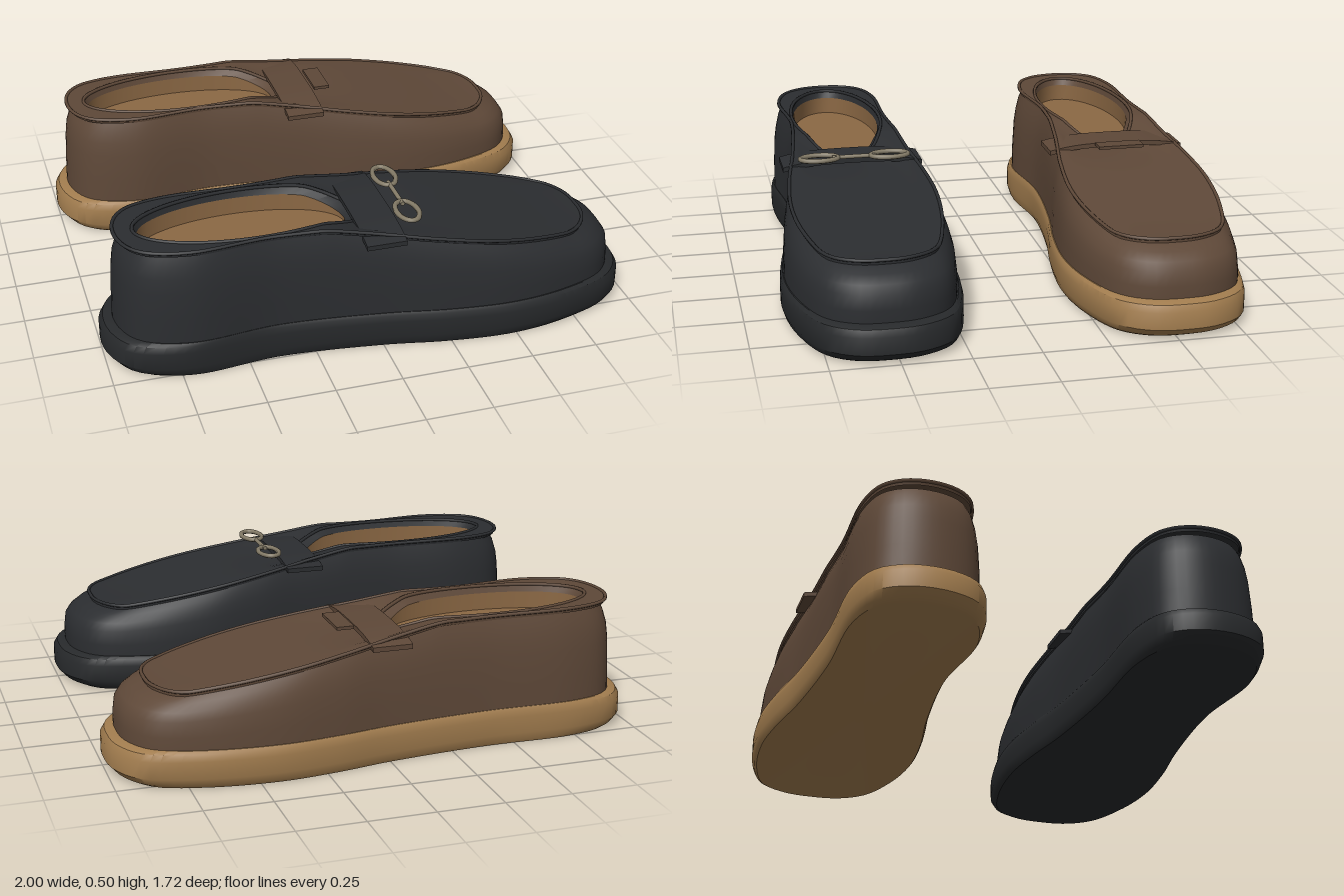
import * as THREE from 'three';
import { toCreasedNormals } from 'three/addons/utils/BufferGeometryUtils.js';

const N = 128;
const V = (x, y, z) => new THREE.Vector3(x, y, z);

// Footprint of the shoe: toe at +x, running along the -z side to the heel and back
const outline = new THREE.CatmullRomCurve3([
  [1, 0], [0.985, -0.12], [0.91, -0.235], [0.72, -0.302], [0.45, -0.33], [0.22, -0.31], [0, -0.273], [-0.4, -0.238],
  [-0.78, -0.235], [-0.93, -0.185], [-0.995, -0.08], [-0.995, 0.07], [-0.93, 0.185], [-0.75, 0.25], [-0.4, 0.226],
  [0, 0.265], [0.25, 0.31], [0.5, 0.33], [0.72, 0.3], [0.91, 0.225], [0.985, 0.12],
].map(([x, z]) => V(x, 0, z)), true).getSpacedPoints(N).slice(0, N);

// Height of the upper along its length
const topY = (x) => {
  if (x < -0.2) return 0.49;
  return Math.max(0.326, 0.49 - (x + 0.2) * 0.172);
};
// The apron dips in the middle of the throat
const apronY = (x, z) => topY(x) + 0.004
  - 0.035 * Math.exp(-(((x + 0.02) / 0.15) ** 2)) * Math.max(0, 1 - (z / 0.2) ** 2);

// Footprint ring stretched between x0 and x1 with its width scaled
const ring = (x0, x1, w, y) => outline.map((p) => {
  const x = x0 + (x1 - x0) * (p.x + 1) / 2, z = p.z * w;
  return V(x, typeof y === 'function' ? y(x, z) : y, z);
});

// Skin through closed rings
function loft(rings) {
  const pos = [], idx = [];
  rings.forEach((r) => r.forEach((p) => pos.push(p.x, p.y, p.z)));
  for (let i = 0; i < rings.length - 1; i++) {
    for (let j = 0; j < N; j++) {
      const k = (j + 1) % N;
      const a = i * N + j, b = i * N + k, c = b + N, d = a + N;
      idx.push(a, b, c, a, c, d);
    }
  }
  const g = new THREE.BufferGeometry();
  g.setAttribute('position', new THREE.Float32BufferAttribute(pos, 3));
  g.setIndex(idx);
  return toCreasedNormals(g, 0.6);
}

const tube = (points, r) => new THREE.TubeGeometry(new THREE.CatmullRomCurve3(points, true), 160, r, 6, true);
const material = (color) => new THREE.MeshStandardMaterial({ color, side: THREE.DoubleSide });

function add(group, name, geometry, mat) {
  const m = new THREE.Mesh(geometry, mat);
  m.name = name;
  group.add(m);
  return m;
}

function makeShoe(name, upperColor, soleColor) {
  const shoe = new THREE.Group();
  shoe.name = name;
  const upper = material(upperColor), sole = material(soleColor), lining = material(0x8b6844);

  // Thick cup sole with rounded edges
  add(shoe, 'sole', loft([
    ring(0, 0, 0, 0), ring(-0.95, 0.95, 0.95, 0), ring(-0.975, 0.975, 0.975, 0.012), ring(-1, 1, 1, 0.04),
    ring(-1, 1, 1, 0.105), ring(-0.985, 0.985, 0.985, 0.13), ring(-0.96, 0.96, 0.96, 0.14), ring(0, 0, 0, 0.14),
  ]), sole);

  // Side walls, rolling inwards toward the apron seam
  const rise = (f) => (x) => 0.13 + f * (topY(x) - 0.142);
  add(shoe, 'upperWall', loft([
    ring(-0.952, 0.952, 0.95, 0.13), ring(-0.948, 0.952, 0.945, rise(0.3)), ring(-0.942, 0.945, 0.925, rise(0.6)),
    ring(-0.935, 0.925, 0.895, rise(0.76)), ring(-0.92, 0.89, 0.855, rise(0.9)), ring(-0.9, 0.845, 0.81, rise(1)),
  ]), upper);

  // Apron from the seam to the foot opening, overhanging the wall slightly
  const seam = ring(-0.93, 0.845, 0.83, apronY);
  const ellipse = (x0, x1, rz, drop) => seam.map((p) => {
    const a = Math.atan2(p.z / 0.175, (p.x + 0.435) / 0.415);
    const x = (x0 + x1) / 2 + (x1 - x0) / 2 * Math.cos(a), z = rz * Math.sin(a);
    return V(x, apronY(x, z) - drop, z);
  });
  const rim = ellipse(-0.865, -0.02, 0.178, 0);
  const inner = ellipse(-0.85, -0.08, 0.168, 0.028);
  const bands = [ring(-0.925, 0.845, 0.825, (x, z) => apronY(x, z) - 0.016)];
  for (let i = 0; i <= 8; i++) {
    bands.push(seam.map((p, j) => {
      const q = p.clone().lerp(rim[j], i / 8);
      q.y = apronY(q.x, q.z);
      return q;
    }));
  }
  add(shoe, 'apron', loft([...bands, inner]), upper);
  add(shoe, 'apronPiping', tube(seam.filter((p, j) => j % 2 === 0), 0.007), upper);
  add(shoe, 'collarPiping', tube(Array.from({ length: 40 }, (_, j) => {
    const a = j / 40 * Math.PI * 2, x = -0.4425 + 0.4225 * Math.cos(a), z = 0.178 * Math.sin(a);
    return V(x, apronY(x, z), z);
  }), 0.007), upper);

  // Lining and insole inside the opening
  const floor = inner.map((p) => V(p.x, 0.4, p.z));
  add(shoe, 'insole', loft([inner, floor, floor.map(() => V(-0.46, 0.4, 0))]), lining);

  // Strap across the instep, bent down at both ends
  const strap = new THREE.BoxGeometry(0.15, 0.018, 0.54, 1, 1, 16);
  const sp = strap.attributes.position;
  for (let i = 0; i < sp.count; i++) sp.setY(i, sp.getY(i) + 0.458 - 0.022 * Math.abs(sp.getZ(i) / 0.27) ** 3);
  add(shoe, 'strap', toCreasedNormals(strap, 0.6), upper);
  return shoe;
}

// Metal bit: two oval links joined by a bar
function makeBit() {
  const bit = new THREE.Group();
  bit.name = 'bit';
  const metal = material(0x857c68);
  for (const s of [-1, 1]) {
    const oval = Array.from({ length: 24 }, (_, j) => {
      const a = j / 24 * Math.PI * 2;
      return V(0.04 * Math.cos(a), 0, 0.072 * Math.sin(a));
    });
    add(bit, 'link', tube(oval, 0.01), metal).position.z = s * 0.135;
  }
  add(bit, 'bar', new THREE.CylinderGeometry(0.008, 0.008, 0.17, 12), metal).rotation.x = Math.PI / 2;
  bit.position.set(0.118, 0.488, 0);
  return bit;
}

export function createModel() {
  const model = new THREE.Group();
  model.name = 'loafers';

  const dark = makeShoe('darkLoafer', 0x2b2d30, 0x27292b);
  dark.add(makeBit());
  dark.position.z = 0.528;

  const brown = makeShoe('brownLoafer', 0x5e4838, 0xa17c4e);
  // Small raised keeper plate on the strap
  add(brown, 'strapPlate', new THREE.BoxGeometry(0.065, 0.012, 0.18), material(0x5e4838)).position.set(0.118, 0.467, 0);
  brown.position.z = -0.528;

  model.add(dark, brown);
  return model;
}
